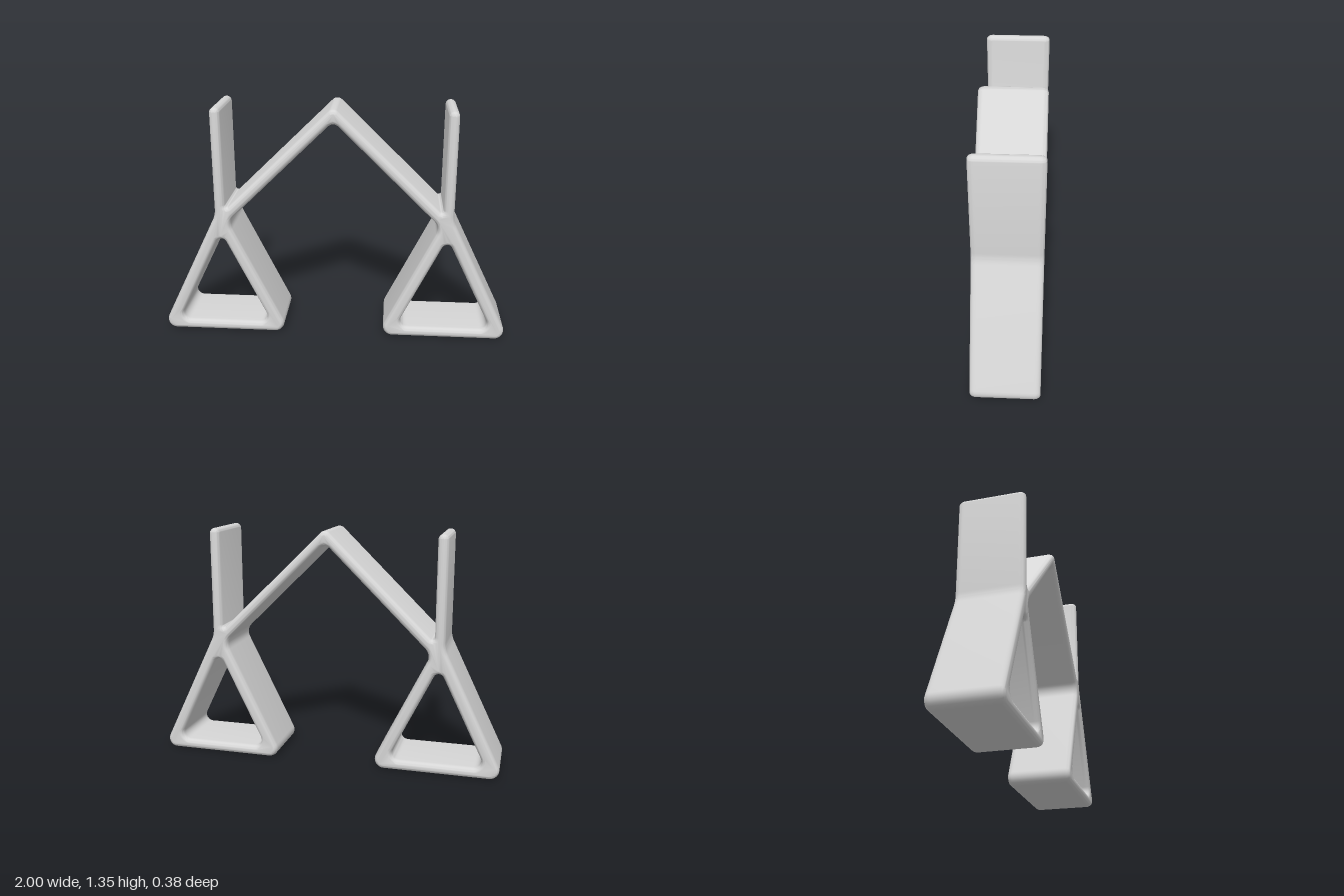
import * as THREE from 'three';
import { toCreasedNormals } from 'three/addons/utils/BufferGeometryUtils.js';

const WIDTH = 0.38; // front to back

// Replaces each corner [x, y, radius] of a closed polygon by a circular arc
function roundCorners(corners, steps = 8) {
  const points = [];
  corners.forEach(([x, y, r], i) => {
    const p = new THREE.Vector2(x, y);
    const prev = corners.at(i - 1);
    const next = corners[(i + 1) % corners.length];
    const a = new THREE.Vector2(prev[0], prev[1]).sub(p).normalize();
    const b = new THREE.Vector2(next[0], next[1]).sub(p).normalize();
    const half = Math.acos(a.dot(b)) / 2;
    const centre = a.clone().add(b).normalize().multiplyScalar(r / Math.sin(half)).add(p);
    const reach = r / Math.tan(half);
    const from = a.multiplyScalar(reach).add(p).sub(centre);
    const to = b.multiplyScalar(reach).add(p).sub(centre);
    const start = Math.atan2(from.y, from.x);
    const sweep = Math.atan2(from.cross(to), from.dot(to));
    for (let k = 0; k <= steps; k++) {
      const t = start + (sweep * k) / steps;
      points.push(new THREE.Vector2(centre.x + r * Math.cos(t), centre.y + r * Math.sin(t)));
    }
  });
  return points;
}

export function createModel() {
  const group = new THREE.Group();
  group.name = 'trussStand';
  const grey = new THREE.MeshStandardMaterial({ color: 0xd6d6d6 });
  grey.name = 'grey';

  // One side of the outline (clockwise), from the arm to the foot
  const side = [
    [0.619, 0.762, 0.014], // arm meets post
    [0.619, 1.352, 0.029], // post top
    [0.678, 1.352, 0.029],
    [0.678, 0.73, 0.15],   // post meets outer leg
    [1.033, 0, 0.053],     // foot ends
    [0.263, 0, 0.053],
    [0.603, 0.692, 0.07],  // inner leg meets arm
  ];
  const mirrored = side.map(([x, y, r]) => [-x, y, r]).reverse();
  const outline = [[0, 1.368, 0.04], ...side, [0, 1.285, 0.04], ...mirrored];
  const shape = new THREE.Shape(roundCorners(outline));

  // Triangular opening in each foot (counter-clockwise)
  for (const x of [-0.648, 0.648]) {
    const hole = [
      [x, 0.625, 0.03],
      [x - 0.276, 0.06, 0.04],
      [x + 0.276, 0.06, 0.04],
    ];
    shape.holes.push(new THREE.Path(roundCorners(hole)));
  }

  // Continuous band with softly rounded edges
  const bevel = 0.035;
  const geometry = new THREE.ExtrudeGeometry(shape, {
    depth: WIDTH - 2 * bevel,
    bevelThickness: bevel,
    bevelSize: 0.024,
    bevelOffset: -0.024,
    bevelSegments: 6,
  });
  geometry.translate(0, 0, bevel - WIDTH / 2);
  geometry.clearGroups();

  const frame = new THREE.Mesh(toCreasedNormals(geometry, 0.7), grey);
  frame.name = 'frame';
  group.add(frame);
  return group;
}
